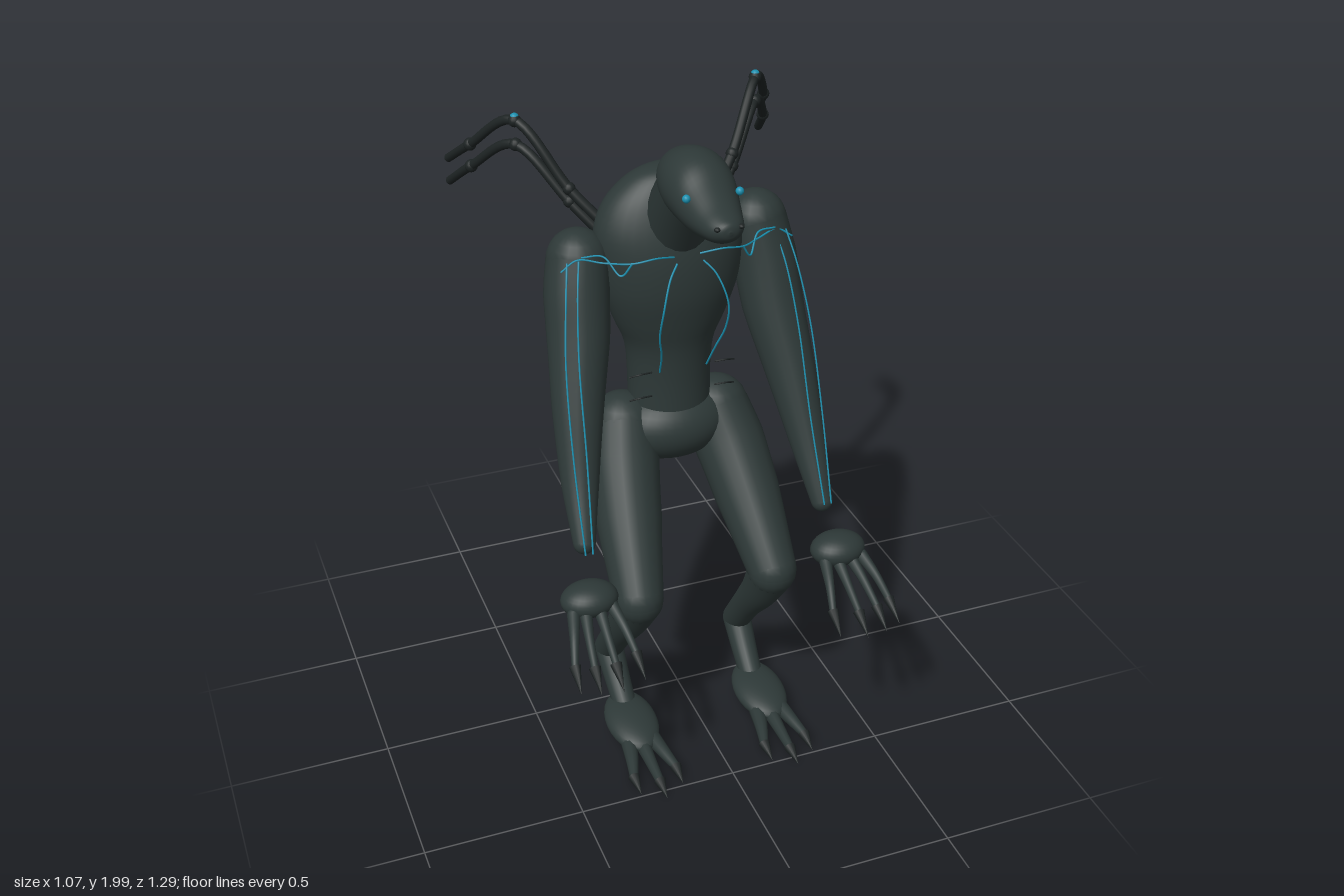
import * as THREE from 'three';
import { mergeGeometries, mergeVertices } from 'three/addons/utils/BufferGeometryUtils.js';

const material = (name, color) => {
  const m = new THREE.MeshStandardMaterial({ color });
  m.name = name;
  return m;
};
const hide = material('dark hide', 0x2d3837);
const horn = material('black horn', 0x1d2323);
const glow = material('cyan glow', 0x1a8fae);

const V = (p) => new THREE.Vector3(p[0], p[1], p[2]);

function add(parent, name, geometry, mat) {
  const mesh = new THREE.Mesh(geometry, mat);
  mesh.name = name;
  parent.add(mesh);
  return mesh;
}

// Ellipsoid at c with radii r
function blob(c, r, seg = 28) {
  const g = new THREE.SphereGeometry(1, seg, Math.round(seg * 0.6));
  return g.scale(r[0], r[1], r[2]).translate(c[0], c[1], c[2]);
}

// Round tube through [x, y, z, radius] points with rounded ends
function limb(points, seg = 24, radial = 20) {
  const curve = new THREE.CatmullRomCurve3(points.map(V));
  const g = new THREE.TubeGeometry(curve, seg, 1, radial, false);
  const pos = g.attributes.position;
  const v = new THREE.Vector3();
  for (let i = 0; i <= seg; i++) {
    const centre = curve.getPointAt(i / seg);
    const t = curve.getUtoTmapping(i / seg) * (points.length - 1);
    const k = Math.min(Math.floor(t), points.length - 2);
    const r = THREE.MathUtils.lerp(points[k][3], points[k + 1][3], t - k);
    for (let j = 0; j <= radial; j++) {
      const n = i * (radial + 1) + j;
      v.fromBufferAttribute(pos, n).sub(centre).multiplyScalar(r).add(centre);
      pos.setXYZ(n, v.x, v.y, v.z);
    }
  }
  const ends = [points[0], points[points.length - 1]].map((p) => blob(p, [p[3], p[3], p[3]], radial));
  return mergeGeometries([g, ...ends]);
}

// Smooth body of elliptical rings [height, depth centre, rx, rz], listed from the top down
function loft(sections, rows = 36) {
  const g = new THREE.CylinderGeometry(1, 1, 1, 36, rows, true);
  const spline = new THREE.CubicInterpolant(sections.map((_, i) => i), sections.flat(), 4);
  const pos = g.attributes.position;
  for (let i = 0; i < pos.count; i++) {
    const t = (0.5 - pos.getY(i)) * (sections.length - 1);
    const [y, c, rx, rz] = spline.evaluate(Math.min(t, sections.length - 1.0001));
    pos.setXYZ(i, pos.getX(i) * rx, y, c + pos.getZ(i) * rz);
  }
  g.deleteAttribute('uv');
  g.deleteAttribute('normal');
  const merged = mergeVertices(g, 1e-5);
  merged.computeVertexNormals();
  return merged;
}

// Cone claw from a to b
function claw(a, b, r) {
  const dir = V(b).sub(V(a));
  const g = new THREE.ConeGeometry(r, dir.length(), 10);
  g.applyQuaternion(new THREE.Quaternion().setFromUnitVectors(new THREE.Vector3(0, 1, 0), dir.clone().normalize()));
  return g.translate((a[0] + b[0]) / 2, (a[1] + b[1]) / 2, (a[2] + b[2]) / 2);
}

const wire = (points, r) => new THREE.TubeGeometry(new THREE.CatmullRomCurve3(points.map(V)), 40, r, 6);

function buildTrunk(body) {
  add(body, 'torso', loft([
    [1.872, -0.04, 0.005, 0.005], [1.862, -0.04, 0.075, 0.05], [1.83, -0.045, 0.135, 0.085],
    [1.77, -0.045, 0.195, 0.115], [1.69, -0.04, 0.228, 0.138], [1.6, -0.032, 0.225, 0.147],
    [1.5, -0.03, 0.21, 0.145], [1.4, -0.035, 0.177, 0.132], [1.31, -0.04, 0.14, 0.118],
    [1.2, -0.042, 0.13, 0.114], [1.08, -0.04, 0.13, 0.115],
  ]), hide);
  add(body, 'pelvis', blob([0, 1.025, -0.03], [0.19, 0.12, 0.14], 36), hide);
  add(body, 'neck', limb([[0, 1.64, -0.02, 0.1], [0, 1.75, 0.05, 0.1], [0, 1.87, 0.13, 0.09]]), hide);

  // Head is lofted along z, muzzle first
  const head = loft([
    [0.44, -1.85, 0.005, 0.005], [0.432, -1.85, 0.03, 0.024], [0.405, -1.847, 0.053, 0.04],
    [0.36, -1.85, 0.068, 0.055], [0.3, -1.862, 0.084, 0.077], [0.24, -1.882, 0.097, 0.097],
    [0.17, -1.892, 0.102, 0.1], [0.1, -1.897, 0.088, 0.08], [0.05, -1.9, 0.055, 0.05], [0.025, -1.9, 0.005, 0.005],
  ]);
  add(body, 'head', head.rotateX(Math.PI / 2), hide);

  // Spine beads down the back
  for (let i = 0; i < 16; i++) {
    const y = 1.0 + i * 0.05;
    const z = y > 1.7 ? -0.155 + (y - 1.7) * 0.25 : -0.16 - 0.012 * Math.sin((y - 1) * 4.5);
    add(body, 'spineBead', blob([0, y, z], [0.02, 0.022, 0.02], 12), horn);
  }
}

function buildSide(body, s) {
  const mx = (p) => [s * p[0], ...p.slice(1)];
  const line = (pts, r) => wire(pts.map(mx), r);
  const lift = s * 0.02; // the left shoulder sits higher, its wrist lower

  add(body, 'eye', blob([s * 0.078, 1.91, 0.31], [0.012, 0.012, 0.012], 12), glow);
  add(body, 'nostril', blob([s * 0.035, 1.862, 0.428], [0.009, 0.007, 0.009], 10), horn);

  // Arm
  add(body, 'arm', limb([
    [0.28, 1.63 + lift, -0.045, 0.094], [0.297, 1.53 + lift / 2, -0.01, 0.098], [0.31, 1.4, 0.035, 0.094],
    [0.342, 1.2, 0.112, 0.077], [0.368, 1.0, 0.195, 0.057], [0.387, 0.83 - lift * 0.7, 0.28, 0.034],
  ].map(mx)), hide);

  // Hand with four clawed fingers
  const hy = 0.7 - s * 0.008;
  add(body, 'hand', blob([s * 0.405, hy, 0.37], [0.088, 0.052, 0.07]), hide);
  [[0.467, 0.505, 0.59], [0.43, 0.453, 0.615], [0.387, 0.39, 0.62], [0.347, 0.318, 0.59]].forEach(([x0, x1, z]) => {
    const knuckle = [s * x1, hy - 0.105, z - 0.055];
    add(body, 'finger', limb([
      [s * x0, hy - 0.015, 0.41, 0.02], [s * (x0 * 0.45 + x1 * 0.55), hy - 0.055, 0.48, 0.014], [...knuckle, 0.011],
    ], 10, 10), hide);
    add(body, 'fingerClaw', claw(knuckle, [s * (x1 + (x1 - x0) * 0.15), hy - 0.155, z + 0.018], 0.018), horn);
  });

  // Thigh, bent knee and lower leg
  add(body, 'thigh', limb([
    [0.155, 1.035, -0.035, 0.105], [0.176, 0.94, 0.03, 0.112], [0.198, 0.8, 0.135, 0.103], [0.222, 0.605, 0.288, 0.077],
  ].map(mx)), hide);
  add(body, 'shin', limb([
    [0.222, 0.6, 0.288, 0.077], [0.224, 0.48, 0.21, 0.064], [0.226, 0.34, 0.095, 0.05], [0.228, 0.215, 0, 0.047],
  ].map(mx)), hide);
  add(body, 'ankle', limb([[0.228, 0.215, 0, 0.047], [0.226, 0.14, 0.07, 0.042], [0.224, 0.075, 0.14, 0.038]].map(mx)), hide);

  // Foot with three clawed toes
  const foot = blob([0, 0, 0], [0.083, 0.04, 0.135]);
  foot.rotateX(0.12).translate(s * 0.225, 0.06, 0.21);
  add(body, 'foot', foot, hide);
  [[0.26, 0.293, 0.495], [0.223, 0.223, 0.54], [0.187, 0.153, 0.495]].forEach(([x0, x1, z]) => {
    const knuckle = [s * x1, 0.022, z - 0.07];
    add(body, 'toe', limb([[s * x0, 0.045, 0.28, 0.028], [s * (x0 + x1) / 2, 0.035, 0.36, 0.021], [...knuckle, 0.014]], 10, 10), hide);
    add(body, 'toeClaw', claw(knuckle, [s * x1, 0.006, z], 0.019), horn);
  });

  // Glowing lines over collar, chest and arm
  add(body, 'chestLine', line([
    [0.04, 1.635, 0.14], [0.07, 1.6, 0.165], [0.1, 1.51, 0.19], [0.103, 1.42, 0.165], [0.085, 1.34, 0.13], [0.075, 1.26, 0.085],
  ], 0.003), glow);
  add(body, 'collarLine', line([
    [0.04, 1.645, 0.115], [0.1, 1.66, 0.137], [0.17, 1.65, 0.125], [0.24, 1.64, 0.07], [0.31, 1.65, 0.047], [0.36, 1.62, 0.047],
  ], 0.003), glow);
  add(body, 'shoulderLine', line([[0.17, 1.65, 0.125], [0.2, 1.61, 0.11], [0.24, 1.66, 0.07], [0.3, 1.66, 0.055]], 0.003), glow);
  [[0.36, 0.385, 0.398], [0.325, 0.345, 0.375]].forEach(([a, b, c]) => {
    add(body, 'armLine', line([
      [a - 0.02, 1.645, 0.045], [a, 1.55, 0.09], [b, 1.37, 0.15], [b + 0.012, 1.1, 0.235], [c, 0.83, 0.325],
    ], 0.0028), glow);
  });

  // Small ribs curving off the waist
  [1.26, 1.18].forEach((y) => {
    add(body, 'rib', line([[0.1, y + 0.004, 0.085], [0.14, y + 0.006, 0.09], [0.168, y - 0.006, 0.075]], 0.003), horn);
  });
}

// Two jointed tendrils rising from a mount on the back
function buildWing(parent, s) {
  const drop = s > 0 ? 0 : 0.037;
  add(parent, 'wingMount', blob([s * 0.16, 1.635 - drop / 2, -0.15], [0.045, 0.065, 0.04], 20), hide);
  const rails = [[1.68, 1.79, 1.975, 1.855, 1.77], [1.64, 1.75, 1.9, 1.785, 1.695]];
  rails.forEach((heights, k) => {
    const plan = [[0.165, -0.155], [0.26, -0.225], [0.383, -0.348], [0.482, -0.51], [0.522, -0.635]];
    const pts = plan.map(([x, z], i) => [s * x, heights[i] - drop, z, 0.016 - i * 0.0006]);
    add(parent, 'tendril', limb(pts, 32, 12), horn);
    pts.slice(1, 4).forEach(([x, y, z]) => add(parent, 'tendrilJoint', blob([x, y, z], [0.02, 0.02, 0.02], 14), horn));
    if (k === 0) add(parent, 'tendrilLight', blob([pts[2][0], pts[2][1] + 0.011, pts[2][2]], [0.014, 0.012, 0.014], 12), glow);
  });
}

export function createModel() {
  const model = new THREE.Group();
  model.name = 'creature';
  const body = new THREE.Group();
  body.name = 'body';
  body.position.x = -0.013;
  const wings = new THREE.Group();
  wings.name = 'wings';
  wings.position.x = 0.003;
  model.add(body, wings);
  buildTrunk(body);
  for (const s of [1, -1]) {
    buildSide(body, s);
    buildWing(wings, s);
  }
  return model;
}
